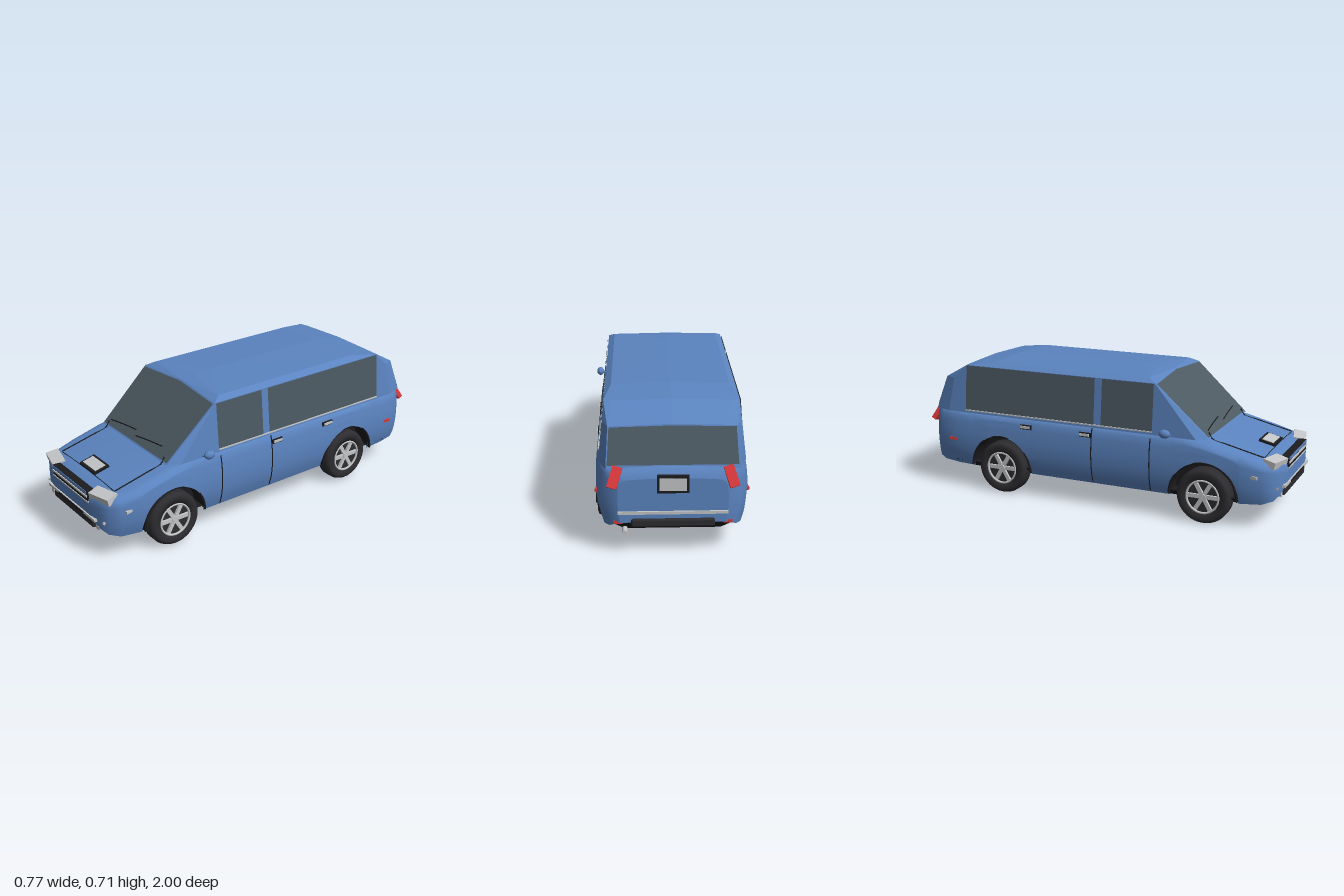
import * as THREE from 'three';
import { ConvexGeometry } from 'three/addons/geometries/ConvexGeometry.js';
import { RoundedBoxGeometry } from 'three/addons/geometries/RoundedBoxGeometry.js';

const mat = (name, color, side = THREE.FrontSide) => Object.assign(new THREE.MeshStandardMaterial({ color, side }), { name });
const paint = mat('blue paint', 0x5b84c0, THREE.DoubleSide);
const glass = mat('tinted glass', 0x4c5a62, THREE.DoubleSide);
const black = mat('black trim', 0x1c1c1f, THREE.DoubleSide);
const rubber = mat('tyre rubber', 0x2d2d31, THREE.DoubleSide);
const silver = mat('silver', 0xc4c6c8);
const red = mat('red lens', 0xd8383a);

// Body stations: z, half width, bottom height, top height
const STATIONS = [
  [0.99, 0.17, 0.22, 0.30], [0.975, 0.25, 0.17, 0.325], [0.95, 0.30, 0.145, 0.34],
  [0.9, 0.335, 0.13, 0.352], [0.8, 0.352, 0.125, 0.375], [0.63, 0.36, 0.125, 0.415],
  [0.5, 0.36, 0.125, 0.435], [-0.6, 0.36, 0.125, 0.435], [-0.8, 0.352, 0.13, 0.435],
  [-0.9, 0.335, 0.135, 0.435], [-0.945, 0.305, 0.145, 0.43], [-0.965, 0.25, 0.165, 0.38],
];
// Side bulge: height, fraction of the half width
const BULGE = [[0.1, 0.9], [0.14, 0.94], [0.19, 0.98], [0.25, 1], [0.3, 1], [0.36, 0.985], [0.44, 0.945]];
const WHEELS = [0.615, -0.52], AXLE = 0.14, ARCH = 0.175;

function lookup(table, v) {
  const up = table[1][0] > table[0][0];
  let i = 0;
  while (i < table.length - 2 && (up ? v > table[i + 1][0] : v < table[i + 1][0])) i++;
  const a = table[i], b = table[i + 1];
  const t = THREE.MathUtils.clamp((v - a[0]) / (b[0] - a[0]), 0, 1);
  return a.map((n, k) => n + (b[k] - n) * t);
}
const sideX = (z, y) => lookup(STATIONS, z)[1] * lookup(BULGE, y)[1];
const topY = (z) => lookup(STATIONS, z)[3];

// Half section from the sill (or wheel arch) up to the centre line, then mirrored
function section(z) {
  const [, w, yb, top] = lookup(STATIONS, z);
  let low = yb;
  for (const c of WHEELS) {
    const d = Math.abs(z - c);
    if (d < ARCH) low = Math.max(low, AXLE + Math.sqrt(ARCH * ARCH - d * d));
  }
  const shoulder = top - 0.032, half = [];
  for (let k = 0; k <= 8; k++) {
    const y = low + (shoulder - low) * k / 8;
    half.push([w * lookup(BULGE, y)[1], y]);
  }
  half.push([w * 0.925, top - 0.014], [w * 0.85, top - 0.006], [w * 0.45, top], [0, top + 0.003]);
  return [...half, ...half.slice(0, -1).reverse().map(([x, y]) => [-x, y])];
}

function bodyGeometry() {
  const zs = STATIONS.map((s) => s[0]);
  for (const c of WHEELS) for (let k = 0; k <= 24; k++) zs.push(c + ARCH * Math.cos(Math.PI * k / 24));
  for (let z = 0.4; z > -0.35; z -= 0.1) zs.push(z);
  zs.sort((a, b) => b - a);
  const pos = [], idx = [], rows = zs.map(section), n = rows[0].length;
  rows.forEach((r, i) => r.forEach(([x, y]) => pos.push(x, y, zs[i])));
  for (let i = 0; i < rows.length - 1; i++) for (let j = 0; j < n - 1; j++) {
    const a = i * n + j, b = a + n;
    idx.push(a, b, a + 1, b, b + 1, a + 1);
  }
  // Flat nose and tail caps
  for (const i of [0, rows.length - 1]) {
    const base = pos.length / 3;
    rows[i].forEach(([x, y]) => pos.push(x, y, zs[i]));
    for (let j = 1; j < n - 1; j++) idx.push(base, ...(i ? [base + j + 1, base + j] : [base + j, base + j + 1]));
  }
  const g = new THREE.BufferGeometry();
  g.setAttribute('position', new THREE.Float32BufferAttribute(pos, 3));
  g.setIndex(idx);
  g.computeVertexNormals();
  return g;
}

// Flat polygon as a fan
function panelGeometry(pts) {
  const g = new THREE.BufferGeometry(), idx = [];
  for (let i = 1; i < pts.length - 1; i++) idx.push(0, i, i + 1);
  g.setAttribute('position', new THREE.Float32BufferAttribute(pts.flat(), 3));
  g.setIndex(idx);
  g.computeVertexNormals();
  return g;
}

function hull(points) {
  return new ConvexGeometry(points.flatMap(([x, y, z]) => (x ? [-1, 1] : [1]).map((s) => new THREE.Vector3(x * s, y, z))));
}

export function createModel() {
  const car = new THREE.Group();
  car.name = 'minivan';
  const add = (name, geo, material, p = [0, 0, 0], r = [0, 0, 0], parent = car) => {
    const m = new THREE.Mesh(geo, material);
    m.name = name;
    m.position.set(...p);
    m.rotation.set(...r);
    parent.add(m);
    return m;
  };
  const box = (name, size, material, p, r, parent) => add(name, new THREE.BoxGeometry(...size), material, p, r, parent);
  const line = (name, pts, radius, material) => add(name, new THREE.TubeGeometry(
    new THREE.CatmullRomCurve3(pts.map((p) => new THREE.Vector3(...p))), 12, radius, 6), material);

  // Shell
  add('lowerBody', bodyGeometry(), paint);
  add('cabin', hull([
    [0.30, 0.42, 0.625], [0.337, 0.42, 0.57], [0.337, 0.42, -0.85], [0.302, 0.42, -0.947],
    [0.312, 0.675, 0.345], [0.312, 0.675, -0.74], [0.317, 0.60, -0.82], [0.292, 0.60, -0.88],
    [0, 0.692, 0.327], [0.28, 0.695, 0.3], [0, 0.703, 0.25], [0.28, 0.697, -0.58], [0, 0.707, 0.15],
    [0, 0.707, -0.58], [0.275, 0.675, -0.75], [0, 0.684, -0.75], [0, 0.61, -0.882],
  ]), paint);
  add('underbody', hull([
    [0.25, 0.105, 0.86], [0.27, 0.105, 0.6], [0.27, 0.105, -0.75], [0.22, 0.105, -0.9],
    [0.335, 0.15, 0.78], [0.335, 0.15, -0.82], [0.27, 0.15, 0.945], [0.27, 0.15, -0.94],
  ]), black);

  // Windscreen and rear window
  add('windscreen', panelGeometry([[-0.295, 0.428, 0.621], [0.295, 0.428, 0.621], [0.307, 0.672, 0.353],
    [0, 0.688, 0.336], [-0.307, 0.672, 0.353]]), glass);
  add('rearWindow', panelGeometry([[0.296, 0.438, -0.945], [-0.296, 0.438, -0.945], [-0.286, 0.597, -0.886],
    [0, 0.604, -0.886], [0.286, 0.597, -0.886]]), glass);
  for (const x of [-0.25, -0.01]) line('wiper', [[x, 0.452, 0.602], [x + 0.1, 0.462, 0.592], [x + 0.21, 0.47, 0.582]], 0.003, black);

  for (const s of [-1, 1]) {
    // Side windows lie on the sloping cabin side
    const cx = (y) => s * (0.34 - (y - 0.42) * 0.0902);
    for (const [a, b] of [[0.34, 0.06], [0.02, -0.74]])
      add('sideWindow', panelGeometry([[cx(0.437), 0.437, a], [cx(0.437), 0.437, b], [cx(0.674), 0.674, b], [cx(0.674), 0.674, a]]), glass);
    box('windowTrim', [0.006, 0.006, 1.08], silver, [s * 0.34, 0.435, -0.2]);

    // Door seams, handles and markers
    for (const [z, top] of [[0.335, 0.405], [0.015, 0.42]])
      line('doorSeam', [0.13, 0.18, 0.24, 0.3, 0.36, top].map((y) => [s * sideX(z, y), y, z]), 0.003, black);
    for (const z of [-0.02, -0.365]) {
      box('handleRecess', [0.012, 0.024, 0.068], black, [s * 0.349, 0.383, z]);
      box('doorHandle', [0.012, 0.013, 0.054], silver, [s * 0.354, 0.383, z - 0.003]);
    }
    box('frontMarker', [0.012, 0.014, 0.04], silver, [s * sideX(0.865, 0.27), 0.27, 0.865], [0, s * 0.2, 0]);
    box('rearMarker', [0.012, 0.014, 0.042], red, [s * sideX(-0.82, 0.27), 0.27, -0.82], [0, -s * 0.12, 0]);

    // Mirror
    add('mirror', new THREE.SphereGeometry(0.022, 18, 12), paint, [s * 0.367, 0.441, 0.418]).scale.set(0.9, 1, 1.35);
    line('mirrorStalk', [[s * 0.325, 0.425, 0.44], [s * 0.345, 0.43, 0.43], [s * 0.362, 0.438, 0.42]], 0.006, paint);

    // Bonnet seam
    line('bonnetSeam', [0.89, 0.8, 0.7, 0.63, 0.61].map((z, i) => [s * 0.26, topY(z) - 0.003 + (i === 4 ? 0.03 : 0), z]), 0.0035, black);

    // Lamps
    const head = new THREE.Group();
    head.name = 'headlight';
    head.position.set(s * 0.235, 0.33, 0.94);
    head.rotation.set(0.2, s * 0.22, 0);
    car.add(head);
    box('headlightLens', [0.135, 0.036, 0.065], silver, [0, 0, 0], [0, 0, 0], head);
    add('fogLamp', new THREE.CylinderGeometry(0.015, 0.015, 0.03, 20), silver, [s * 0.225, 0.17, 0.962], [Math.PI / 2, 0, 0]);
    add('bumperMarker', new THREE.ConeGeometry(0.01, 0.018, 4), silver, [s * 0.268, 0.209, 0.966], [0, 0, s * Math.PI / 2]);
    box('tailLamp', [0.046, 0.1, 0.026], red, [s * 0.262, 0.388, -0.962], [0.5, 0, s * 0.3]);
    box('rearReflector', [0.04, 0.014, 0.012], red, [s * 0.25, 0.165, -0.956]);

    // Wheels in their arches
    for (const z of WHEELS) {
      const arch = new THREE.CylinderGeometry(ARCH + 0.002, ARCH + 0.002, 0.1, 28, 1, true, -Math.PI / 2, Math.PI);
      arch.rotateX(-Math.PI / 2).rotateY(Math.PI / 2);
      if (arch.attributes.position.getY(0) + arch.boundingSphere?.center.y < 0) arch.rotateX(Math.PI);
      arch.computeBoundingBox();
      if (arch.boundingBox.max.y < 0.1) arch.rotateX(Math.PI);
      add('wheelArchLiner', arch, black, [s * 0.303, AXLE, z]);
      add('wheelArchLip', new THREE.TorusGeometry(ARCH, 0.006, 6, 28, Math.PI), black, [s * 0.354, AXLE, z], [0, Math.PI / 2, 0]);
      add('wheelArchWall', new THREE.CircleGeometry(ARCH, 28, 0, Math.PI), black, [s * 0.256, AXLE, z], [0, Math.PI / 2, 0]);

      const wheel = new THREE.Group();
      wheel.name = 'wheel';
      wheel.position.set(s * 0.308, AXLE, z);
      wheel.rotation.z = -s * Math.PI / 2;
      car.add(wheel);
      const prof = [[0.086, -0.043], [0.118, -0.047], [0.133, -0.041], [0.14, -0.025]];
      for (const g of [-0.015, 0, 0.015]) prof.push([0.14, g - 0.003], [0.134, g - 0.002], [0.134, g + 0.002], [0.14, g + 0.003]);
      prof.push([0.14, 0.025], [0.133, 0.041], [0.118, 0.047], [0.086, 0.043], [0.086, 0.02]);
      add('tyre', new THREE.LatheGeometry(prof.map((p) => new THREE.Vector2(...p)), 40), rubber, undefined, undefined, wheel);
      add('wheelBack', new THREE.CylinderGeometry(0.087, 0.087, 0.06, 32), rubber, [0, -0.005, 0], undefined, wheel);
      add('rim', new THREE.TorusGeometry(0.083, 0.006, 8, 36), silver, [0, 0.041, 0], [Math.PI / 2, 0, 0], wheel);
      add('hub', new THREE.CylinderGeometry(0.016, 0.02, 0.02, 20), silver, [0, 0.034, 0], undefined, wheel);
      for (let k = 0; k < 6; k++) {
        const a = k * Math.PI / 3 + Math.PI / 6;
        box('spoke', [0.072, 0.012, 0.02], silver, [Math.cos(a) * 0.048, 0.034, -Math.sin(a) * 0.048], [0, a, 0], wheel);
      }
    }
  }

  // Nose
  line('bonnetFrontSeam', [[-0.26, 0.348, 0.892], [0, 0.355, 0.892], [0.26, 0.348, 0.892]], 0.003, black);
  box('grille', [0.345, 0.056, 0.04], black, [0, 0.315, 0.972]);
  box('grilleTopBar', [0.33, 0.016, 0.05], paint, [0, 0.333, 0.97]);
  box('grilleMiddleBar', [0.34, 0.01, 0.05], silver, [0, 0.315, 0.972]);
  box('grilleBottomBar', [0.35, 0.006, 0.046], silver, [0, 0.288, 0.972]);
  box('bumperStrip', [0.46, 0.014, 0.034], silver, [0, 0.209, 0.977]);
  box('bumperStripInsert', [0.25, 0.008, 0.008], black, [0, 0.209, 0.993]);
  add('lowerIntake', new RoundedBoxGeometry(0.395, 0.048, 0.05, 3, 0.01), rubber, [0, 0.175, 0.96]);

  // Plates
  box('frontPlateFrame', [0.145, 0.02, 0.085], black, [0, 0.366, 0.85], [0.23, 0, 0]);
  box('frontPlate', [0.122, 0.008, 0.06], silver, [0, 0.375, 0.852], [0.23, 0, 0]);
  box('rearPlateFrame', [0.145, 0.085, 0.02], black, [0, 0.355, -0.963]);
  box('rearPlate', [0.122, 0.06, 0.008], silver, [0, 0.355, -0.972]);

  // Tail
  box('rearBumperStrip', [0.5, 0.014, 0.026], silver, [0, 0.215, -0.96]);
  add('rearBumperInsert', new RoundedBoxGeometry(0.38, 0.04, 0.04, 3, 0.01), rubber, [0, 0.165, -0.957]);
  add('exhaust', new THREE.CylinderGeometry(0.012, 0.012, 0.085, 18), silver, [0.22, 0.112, -0.92], [Math.PI / 2, 0, 0]);
  return car;
}
